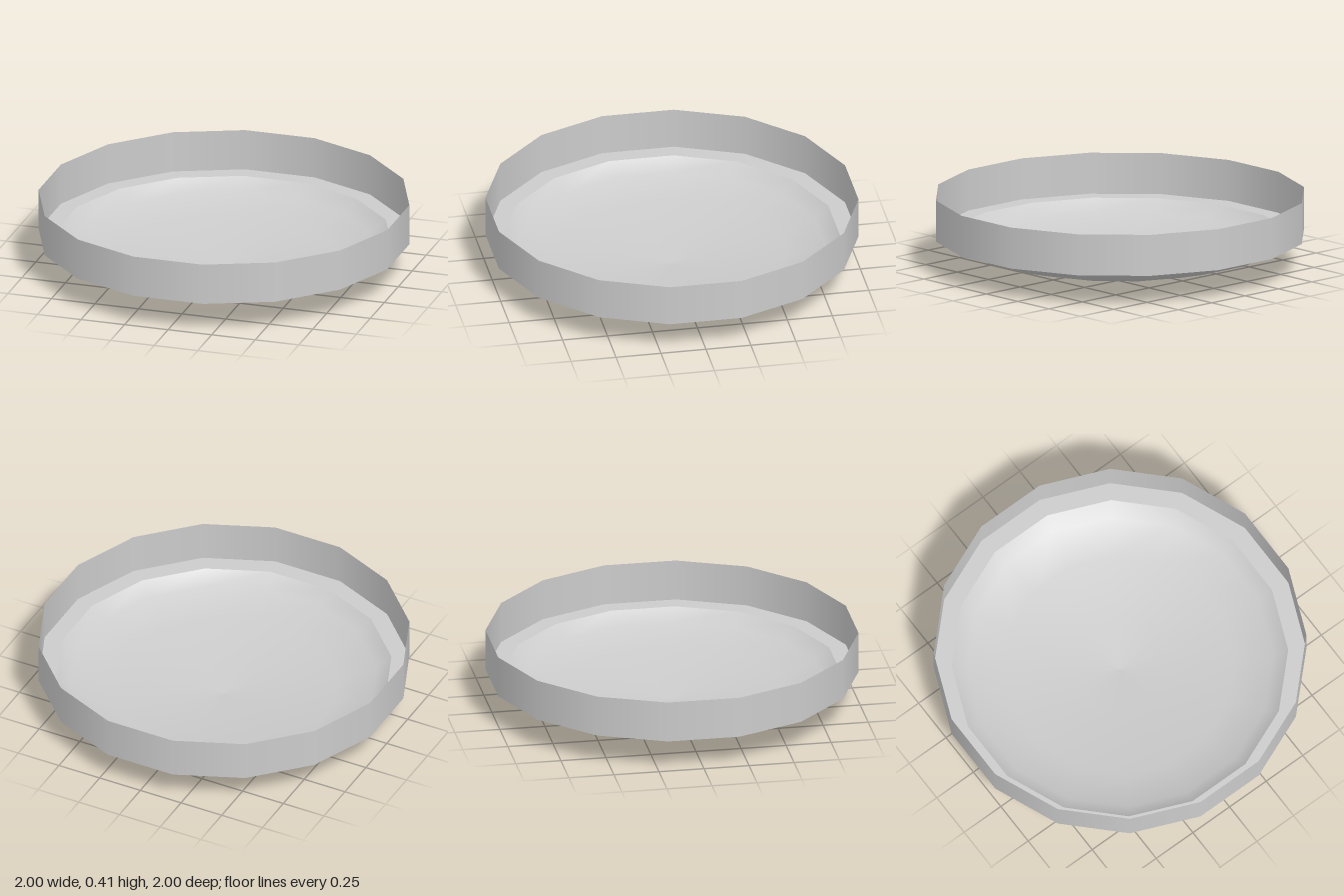
import * as THREE from 'three';

const SIDES = 16;
const CORNER = 1 / Math.cos(Math.PI / SIDES); // flat-to-flat radius -> corner radius

export function createModel() {
  const group = new THREE.Group();
  group.name = 'shallowDish';
  const material = new THREE.MeshStandardMaterial({ color: 0xcccccc, side: THREE.DoubleSide });

  // Sixteen-sided shell swept from a profile of [flat radius, height]
  const addShell = (name, profile) => {
    const points = profile.map(([r, y]) => new THREE.Vector2(r * CORNER, y));
    const mesh = new THREE.Mesh(new THREE.LatheGeometry(points, SIDES, Math.PI / SIDES), material);
    mesh.name = name;
    group.add(mesh);
  };

  // Upright outer wall, open at the top
  addShell('rimWall', [[1, 0.175], [1, 0.405]]);
  // Flat ledge between wall and bowl
  addShell('ledge', [[0.903, 0.175], [1, 0.175]]);
  // Shallow rounded bottom
  addShell('bowl', [[0, 0], [0.26, 0.02], [0.62, 0.057], [0.825, 0.112], [0.903, 0.175]]);

  return group;
}
